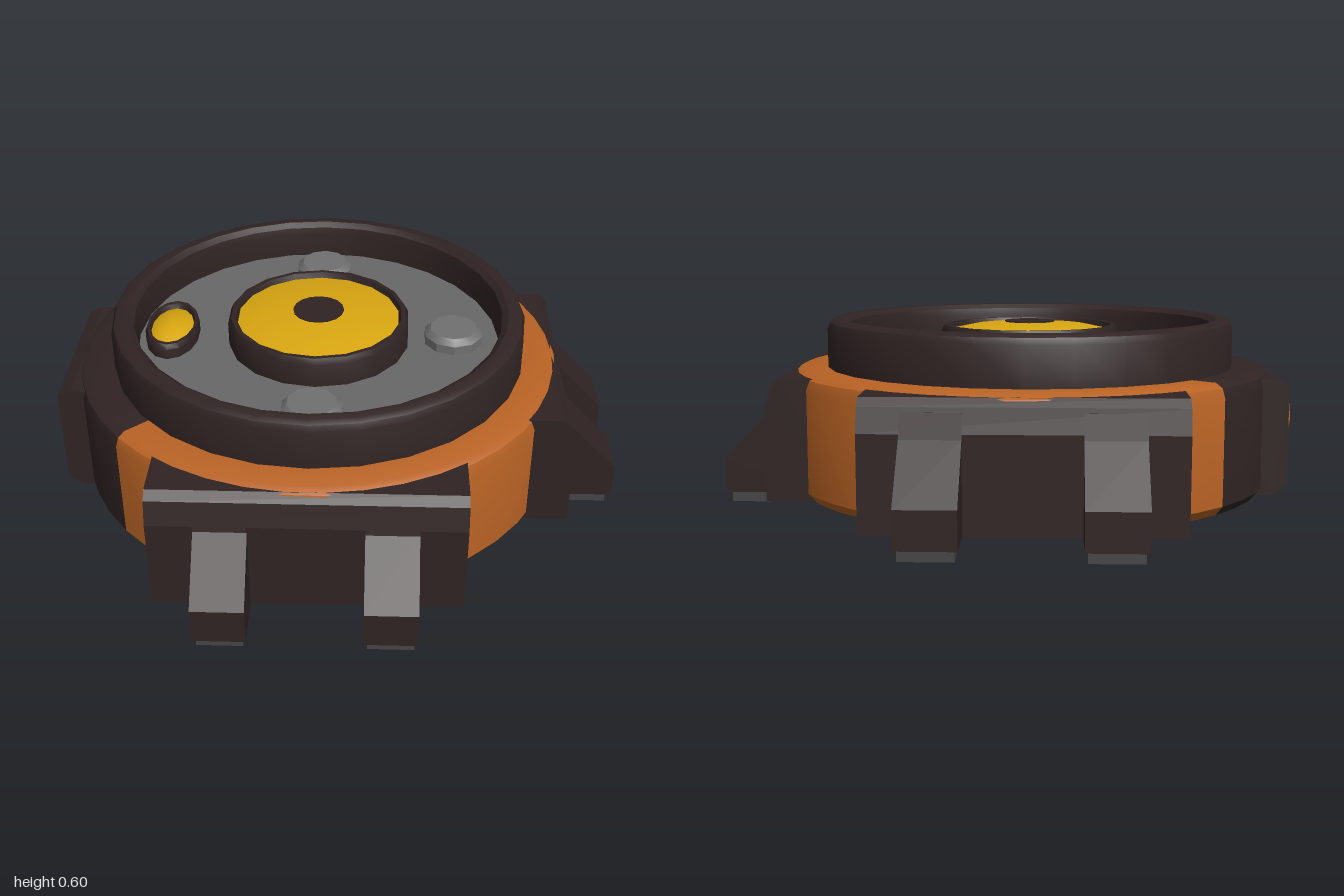
import * as THREE from 'three';
import { toCreasedNormals } from 'three/addons/utils/BufferGeometryUtils.js';

const mat = (name, color) => {
  const m = new THREE.MeshStandardMaterial({ color });
  m.name = name;
  return m;
};

export function createModel() {
  const model = new THREE.Group();
  model.name = 'roundDevice';
  const core = new THREE.Group(); // everything is placed around the disc axis
  core.name = 'discBody';
  core.position.x = -0.075;
  model.add(core);

  const brown = mat('darkBrown', 0x302423);
  const orange = mat('orange', 0xb86224);
  const grey = mat('plateGrey', 0x686868);
  const buttonGrey = mat('buttonGrey', 0x707070);
  const yellow = mat('yellow', 0xd9a611);
  const dark = mat('footGrey', 0x464646);

  const add = (name, geo, material, parent = core) => {
    const mesh = new THREE.Mesh(geo, material);
    mesh.name = name;
    parent.add(mesh);
    return mesh;
  };
  // profile points run from bottom to top on the outside
  const lathe = (pts, seg, start = 0, len = Math.PI * 2, crease = 0.6) =>
    toCreasedNormals(new THREE.LatheGeometry(
      pts.map(([r, y]) => new THREE.Vector2(r, y)), seg, start, len), crease);

  // Main casing: orange, with a brown sector on the -x side
  const casing = [[0.7, 0.03], [0.785, 0.03], [0.81, 0.06], [0.81, 0.395], [0.8, 0.425], [0.775, 0.44], [0.66, 0.44]];
  const half = 0.73;
  add('orangeCasing', lathe(casing, 32, Math.PI * 1.5 + half, Math.PI * 2 - half * 2), orange);
  add('brownCasing', lathe(casing, 10, Math.PI * 1.5 - half, half * 2), brown);

  // Raised rim around the recessed face
  add('rim', lathe([[0.69, 0.43], [0.69, 0.57], [0.682, 0.59], [0.665, 0.6], [0.635, 0.6],
    [0.615, 0.585], [0.61, 0.56], [0.61, 0.46]], 28), brown);
  add('facePlate', lathe([[0.62, 0.475], [0, 0.475]], 28), grey);

  // Central lens
  add('lensRing', lathe([[0.305, 0.47], [0.305, 0.555], [0.295, 0.575], [0.28, 0.575], [0.27, 0.55]], 18), brown);
  add('lensDome', lathe([[0.28, 0.555], [0.2, 0.572], [0.085, 0.583], [0, 0.585]], 18), yellow);
  add('lensPupil', lathe([[0.085, 0.58], [0.085, 0.587], [0, 0.587]], 16), brown);

  // Small oval lens
  const oval = new THREE.Group();
  oval.name = 'ovalLens';
  oval.position.set(-0.497, 0, 0);
  oval.scale.set(0.58, 1, 1);
  core.add(oval);
  add('ovalRing', lathe([[0.155, 0.47], [0.155, 0.51], [0.145, 0.525], [0.13, 0.525], [0.118, 0.5]], 14), brown, oval);
  add('ovalDome', lathe([[0.125, 0.507], [0.08, 0.525], [0, 0.533]], 14), yellow, oval);

  // Face buttons
  for (const [x, z] of [[0, -0.46], [0, 0.46], [0.455, 0]]) {
    add('faceButton', lathe([[0.1, 0.47], [0.1, 0.505], [0.08, 0.525], [0, 0.525]], 10), buttonGrey)
      .position.set(x, 0, z);
  }

  // Underside
  add('basePlate', lathe([[0, 0.015], [0.735, 0.015], [0.75, 0.022], [0.75, 0.04]], 32), dark);
  add('baseRing', lathe([[0.61, 0.012], [0.71, 0.012]], 16), brown);

  // Leg mounts: radial profiles extruded sideways
  const slab = (pts, width) => {
    const shape = new THREE.Shape(pts.map(([x, y]) => new THREE.Vector2(x, y)));
    return new THREE.ExtrudeGeometry(shape, { depth: width, bevelEnabled: false }).translate(0, 0, -width / 2);
  };
  const mount = (name, angle, width, spread, legWidth) => {
    const g = new THREE.Group();
    g.name = name;
    g.rotation.y = angle;
    core.add(g);
    add('mountBlock', slab([[0.55, 0.035], [0.835, 0.035], [0.835, 0.33], [0.815, 0.405], [0.79, 0.43], [0.55, 0.43]], width), brown, g);
    for (const s of [-1, 1]) {
      add('leg', slab([[0.7, 0.034], [1, 0.034], [1, 0.15], [0.84, 0.315], [0.82, 0.39], [0.7, 0.39]], legWidth), brown, g)
        .position.z = s * spread;
      add('footPad', new THREE.BoxGeometry(0.125, 0.04, legWidth - 0.02), dark, g)
        .position.set(0.92, 0.02, s * spread);
    }
  };
  mount('frontMount', -Math.PI / 2, 0.95, 0.253, 0.16);
  mount('backMount', Math.PI / 2, 0.95, 0.263, 0.18);
  mount('leftMount', 0, 0.81, 0.18, 0.18);

  // Control panel with hexagonal studs on the -x side
  const panel = new THREE.Group();
  panel.name = 'controlPanel';
  core.add(panel);
  add('panelBox', slab([[-0.845, 0.075], [-0.845, 0.4], [-0.8, 0.42], [-0.6, 0.42], [-0.6, 0.04], [-0.8, 0.04]], 0.55), brown, panel);
  for (const [z, y, r] of [[-0.19, 0.29, 0.068], [0, 0.31, 0.048], [0.12, 0.325, 0.048], [-0.085, 0.17, 0.048]]) {
    const stud = add('panelStud', new THREE.CylinderGeometry(r * 0.85, r, 0.02, 6), orange, panel);
    stud.rotation.z = Math.PI / 2;
    stud.position.set(-0.845, y, z);
  }
  return model;
}
